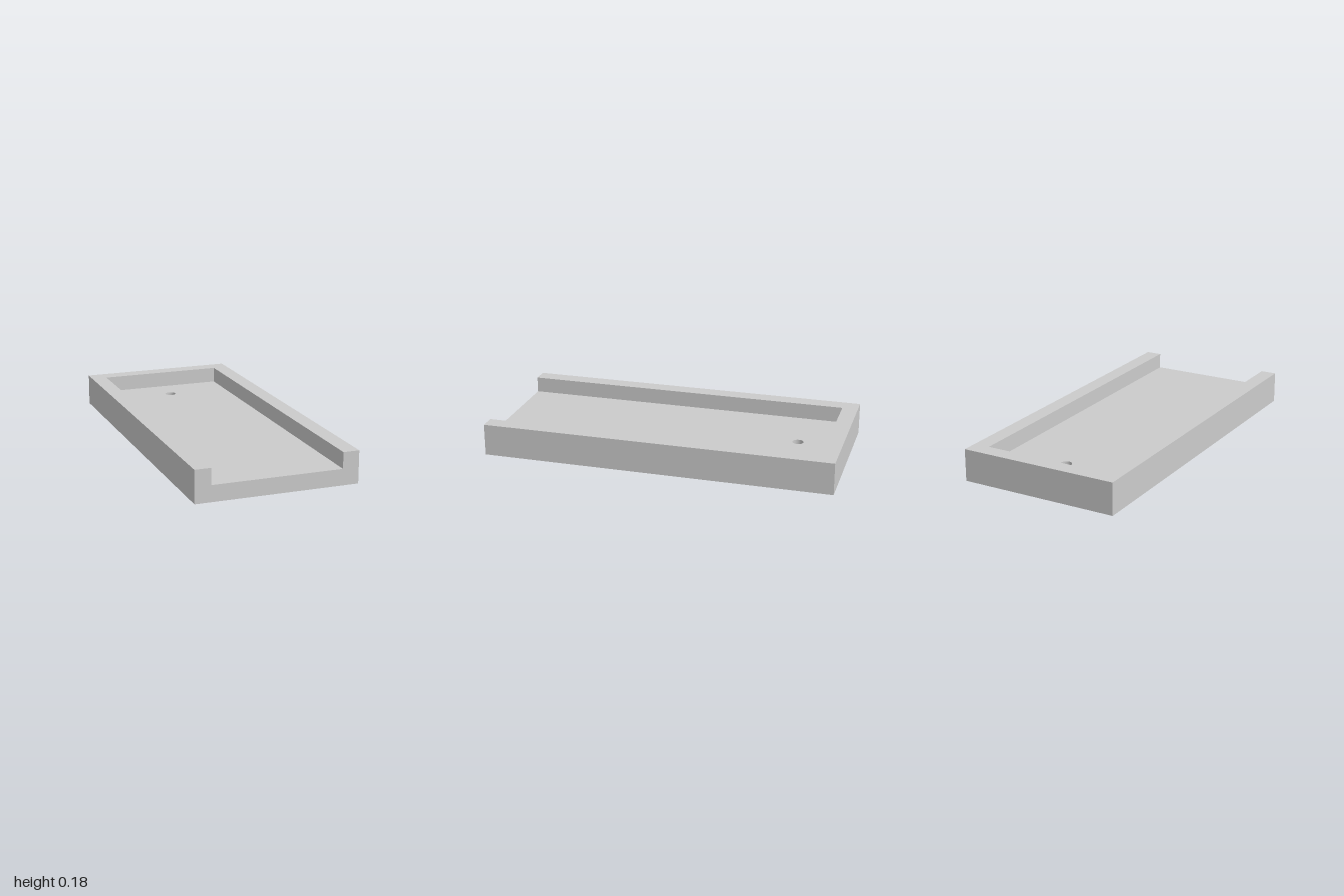
import * as THREE from 'three';

const W = 0.4545, L = 1, H = 0.182;            // outer half width, half length, height
const IW = 0.3636, BACK = -0.909, FLOOR = 0.091; // recess half width, back end, floor height
const HOLE = { z: -0.718, r: 0.032, bottom: 0.028 };

const material = new THREE.MeshStandardMaterial({ color: 0xcccccc, side: THREE.DoubleSide });

function addMesh(group, name, geometry, x = 0, y = 0, z = 0) {
  const mesh = new THREE.Mesh(geometry, material);
  mesh.name = name;
  mesh.position.set(x, y, z);
  group.add(mesh);
}

const outline = (points) => new THREE.Shape(points.map(([x, y]) => new THREE.Vector2(x, y)));

// Flat sheet facing up; shape y runs towards the back (-z)
const level = (shape) => new THREE.ShapeGeometry(shape, 32).rotateX(-Math.PI / 2);

export function createModel() {
  const group = new THREE.Group();
  group.name = 'tray';

  // Outer walls: a thin shell, open underneath
  addMesh(group, 'backWall', new THREE.PlaneGeometry(2 * W, H).rotateY(Math.PI), 0, H / 2, -L);
  addMesh(group, 'frontWall', new THREE.ShapeGeometry(outline([
    [-W, 0], [W, 0], [W, H], [IW, H], [IW, FLOOR], [-IW, FLOOR], [-IW, H], [-W, H],
  ])), 0, 0, L);

  // Side walls and the recess walls beside them
  const depth = H - FLOOR;
  const midY = (H + FLOOR) / 2;
  for (const [side, s] of [['left', 1], ['right', -1]]) {
    addMesh(group, side + 'Wall',
      new THREE.PlaneGeometry(2 * L, H).rotateY(s * Math.PI / 2), s * W, H / 2, 0);
    addMesh(group, side + 'RecessWall',
      new THREE.PlaneGeometry(L - BACK, depth).rotateY(-s * Math.PI / 2), s * IW, midY, (L + BACK) / 2);
  }
  addMesh(group, 'backRecessWall', new THREE.PlaneGeometry(2 * IW, depth), 0, midY, BACK);

  // U-shaped rim, open at the front
  addMesh(group, 'rim', level(outline([
    [-W, -L], [-IW, -L], [-IW, -BACK], [IW, -BACK], [IW, -L], [W, -L], [W, L], [-W, L],
  ])), 0, H, 0);

  // Recess floor with a round hole near the back
  const floor = outline([[-IW, -L], [IW, -L], [IW, -BACK], [-IW, -BACK]]);
  floor.holes.push(new THREE.Path().absarc(0, -HOLE.z, HOLE.r, 0, Math.PI * 2, true));
  addMesh(group, 'floor', level(floor), 0, FLOOR, 0);

  // Blind socket under the hole
  addMesh(group, 'socketWall', new THREE.LatheGeometry([
    new THREE.Vector2(HOLE.r, FLOOR), new THREE.Vector2(HOLE.r, HOLE.bottom),
  ], 64), 0, 0, HOLE.z);
  addMesh(group, 'socketBottom',
    new THREE.CircleGeometry(HOLE.r, 64).rotateX(-Math.PI / 2), 0, HOLE.bottom, HOLE.z);

  return group;
}
